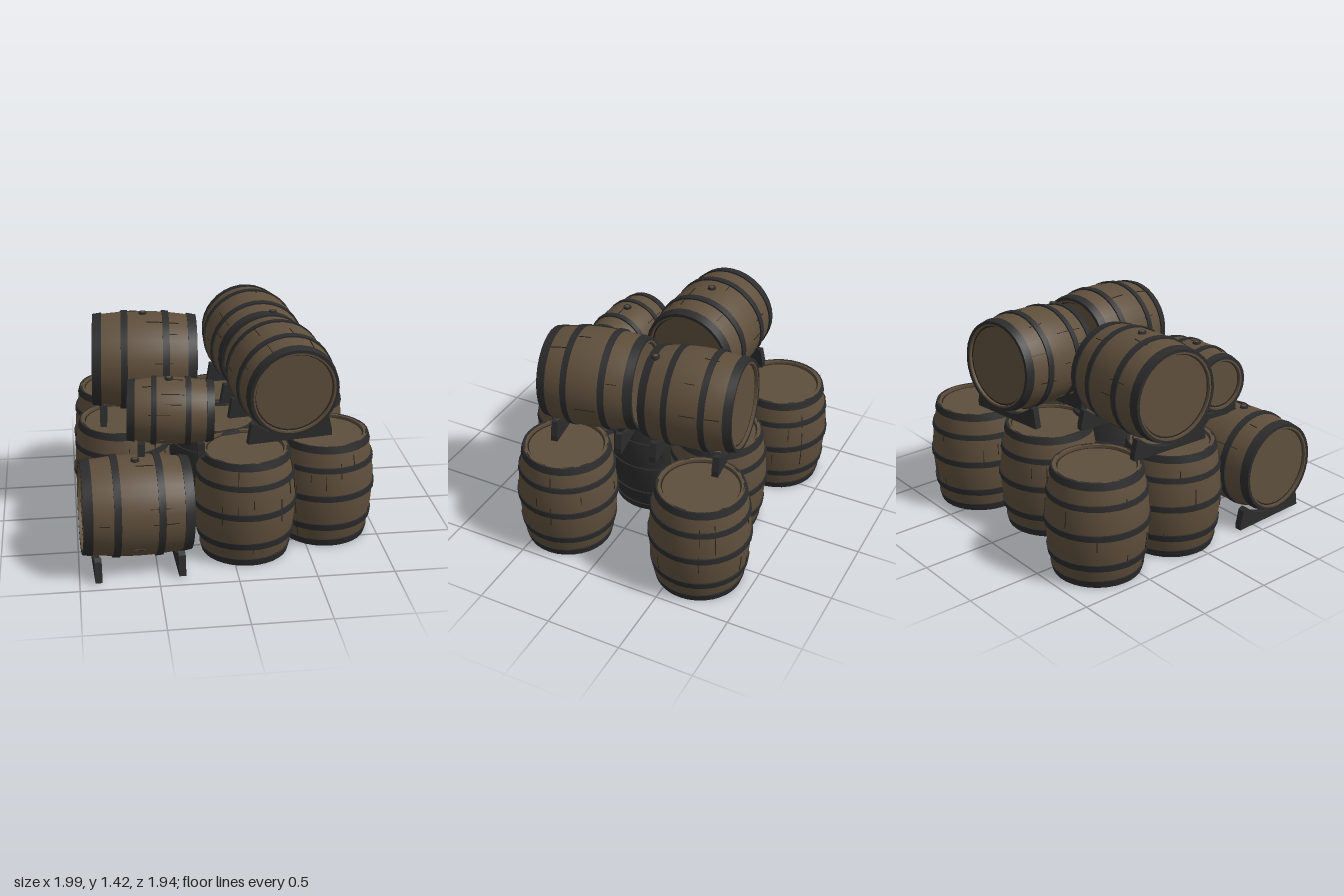
import * as THREE from 'three';
import { toCreasedNormals, mergeGeometries } from 'three/addons/utils/BufferGeometryUtils.js';

const material = (name, color) => {
  const m = new THREE.MeshStandardMaterial({ color });
  m.name = name;
  return m;
};
const wood = material('stave wood', 0x5f4f3c);
const lidWood = material('lid wood', 0x5e4f3d);
const iron = material('dark iron', 0x2c2c2d);
const gap = material('dark gap', 0x2a241d);

// small seeded random
let seed = 7;
const rnd = () => (seed = (seed * 16807) % 2147483647) / 2147483647;

const add = (parent, name, geometry, mat) => {
  const m = new THREE.Mesh(geometry, mat);
  m.name = name;
  parent.add(m);
  return m;
};

const lathe = (pts) =>
  toCreasedNormals(new THREE.LatheGeometry(pts.map(([x, y]) => new THREE.Vector2(x, y)), 32), 0.6);

// A barrel along local y, centred on its own origin
function barrel(name, length, belly, end, hoops, staveMaterial) {
  const g = new THREE.Group();
  g.name = name;
  const h = length / 2, inner = end - 0.022, recess = 0.02;
  const radius = (y) => end + (belly - end) * (1 - (y / h) ** 2);

  // staves with hollow rims
  const pts = [[inner, -h + recess], [inner, -h], [end, -h]];
  for (let i = 1; i < 12; i++) {
    const y = -h + (length * i) / 12;
    pts.push([radius(y), y]);
  }
  pts.push([end, h], [inner, h], [inner, h - recess]);
  add(g, 'staves', lathe(pts), staveMaterial);

  // lids and the dark joint around them
  add(g, 'lids', new THREE.CylinderGeometry(inner, inner, length - 2 * recess, 32), lidWood);
  for (const s of [-1, 1]) {
    const ring = add(g, 'lidJoint', new THREE.RingGeometry(inner - 0.01, inner, 32), gap);
    ring.rotation.x = -s * Math.PI / 2;
    ring.position.y = s * (h - recess + 0.002);
  }

  // hoops: [centre, width] as offsets along the barrel
  for (const [c, w] of hoops) {
    const a = Math.max(c - w / 2, -h - 0.002), b = Math.min(c + w / 2, h + 0.002);
    const ra = radius(a), rb = radius(b), t = 0.01;
    add(g, 'hoop', lathe([[ra - 0.01, a], [ra + t, a], [rb + t, b], [rb - 0.01, b], [ra - 0.01, a]]), iron);
  }

  // cracks along the staves
  const cracks = [];
  for (let i = 0; i < 18; i++) {
    const len = 0.04 + rnd() * 0.1, y = (rnd() - 0.5) * (length - 0.2);
    const angle = (Math.floor(rnd() * 20) / 20) * Math.PI * 2;
    const box = new THREE.BoxGeometry(0.004, len, 0.006);
    box.rotateX(-2 * (belly - end) * y / (h * h));
    box.translate(0, y, radius(y));
    box.rotateY(angle);
    cracks.push(box);
  }
  add(g, 'cracks', mergeGeometries(cracks), gap);
  return g;
}

// A cradle plate with a hollow top, standing on its own y = 0
function cradle(halfWidth, height, centre, radius) {
  const s = new THREE.Shape();
  const x = halfWidth * 0.92;
  s.moveTo(-halfWidth, 0);
  s.lineTo(halfWidth, 0);
  s.lineTo(halfWidth, 0.04);
  s.lineTo(x, height);
  const reach = Math.asin((x - 0.03) / radius);
  for (let i = 0; i <= 10; i++) {
    const a = reach * (1 - i / 5);
    s.lineTo(Math.sin(a) * radius, Math.max(0.02, centre - Math.cos(a) * radius));
  }
  s.lineTo(-x, height);
  s.closePath();
  const geo = new THREE.ExtrudeGeometry(s, { depth: 0.045, bevelEnabled: false });
  return geo.translate(0, 0, -0.0225);
}

export function createModel() {
  const model = new THREE.Group();
  model.name = 'barrelStack';

  // standing barrels; the one in the middle has blackened staves
  const standing = [[-0.65, -0.635, wood], [0.648, -0.635, wood], [0.05, -0.48, wood],
    [0.655, 0.335, wood], [0.095, 0.53, wood], [-0.663, -0.035, wood], [-0.03, 0.02, iron]];
  const fiveHoops = [[-0.335, 0.05], [-0.21, 0.045], [0.005, 0.04], [0.2, 0.035], [0.335, 0.045]];
  for (const [x, z, staves] of standing) {
    const b = barrel('standingBarrel', 0.715, 0.327, 0.276, fiveHoops, staves);
    b.position.set(x, 0.36, z);
    b.rotation.y = rnd() * 6;
    model.add(b);
  }

  // lying barrels: centre, axis, length, belly, end, cradle floor, cradle offset, bung
  const lying = [
    ['lowerLyingBarrel', [-0.628, 0.395, 0.635], [1, -0.03, -0.045], 0.69, 0.324, 0.292, 0.01, 0.265, [-0.62, 0.719, 0.66]],
    ['upperLyingBarrel', [-0.5, 1.083, -0.15], [1, -0.03, 0.045], 0.685, 0.326, 0.295, 0.72, 0.28, [-0.5, 1.409, -0.15]],
    ['smallBarrel', [-0.375, 0.95, 0.433], [1, -0.03, 0.07], 0.545, 0.215, 0.183, 0.7, 0.19, [-0.38, 1.166, 0.433]],
    ['backTopBarrel', [0.285, 1.088, -0.44], [0.11, -0.05, 1], 0.61, 0.325, 0.288, 0.72, 0.21, [0.38, 1.372, -0.18]],
    ['frontTopBarrel', [0.362, 1.088, 0.237], [0.155, -0.05, 1], 0.635, 0.325, 0.288, 0.72, 0.22],
  ];
  for (const [name, c, dir, length, belly, end, floor, offset, bungAt] of lying) {
    const k = length / 0.69;
    const axis = new THREE.Vector3(...dir).normalize();
    const hoops = [[-0.317, 0.062], [-0.135, 0.045], [0.14, 0.045], [0.317, 0.062]]
      .map(([y, w]) => [y * k, w * k]);
    const b = barrel(name, length, belly, end, hoops, wood);
    b.position.set(...c);
    b.quaternion.setFromUnitVectors(new THREE.Vector3(0, 1, 0), axis);
    model.add(b);

    // bung on top
    if (bungAt) {
      const bung = add(model, 'bung', new THREE.CylinderGeometry(0.026, 0.03, 0.024, 12), iron);
      bung.position.set(...bungAt);
      const plug = add(model, 'bungPlug', new THREE.CylinderGeometry(0.014, 0.014, 0.006, 12), wood);
      plug.position.set(bungAt[0], bungAt[1] + 0.011, bungAt[2]);
    }

    // cradle plates under both ends
    const plate = cradle(belly * 0.88, belly * 0.42, c[1] - floor, belly + 0.004);
    for (const s of [-1, 1]) {
      const m = add(model, 'cradle', plate, iron);
      m.position.set(c[0] + axis.x * s * offset, floor, c[2] + axis.z * s * offset);
      m.rotation.y = Math.atan2(axis.x, axis.z);
    }
  }
  return model;
}
